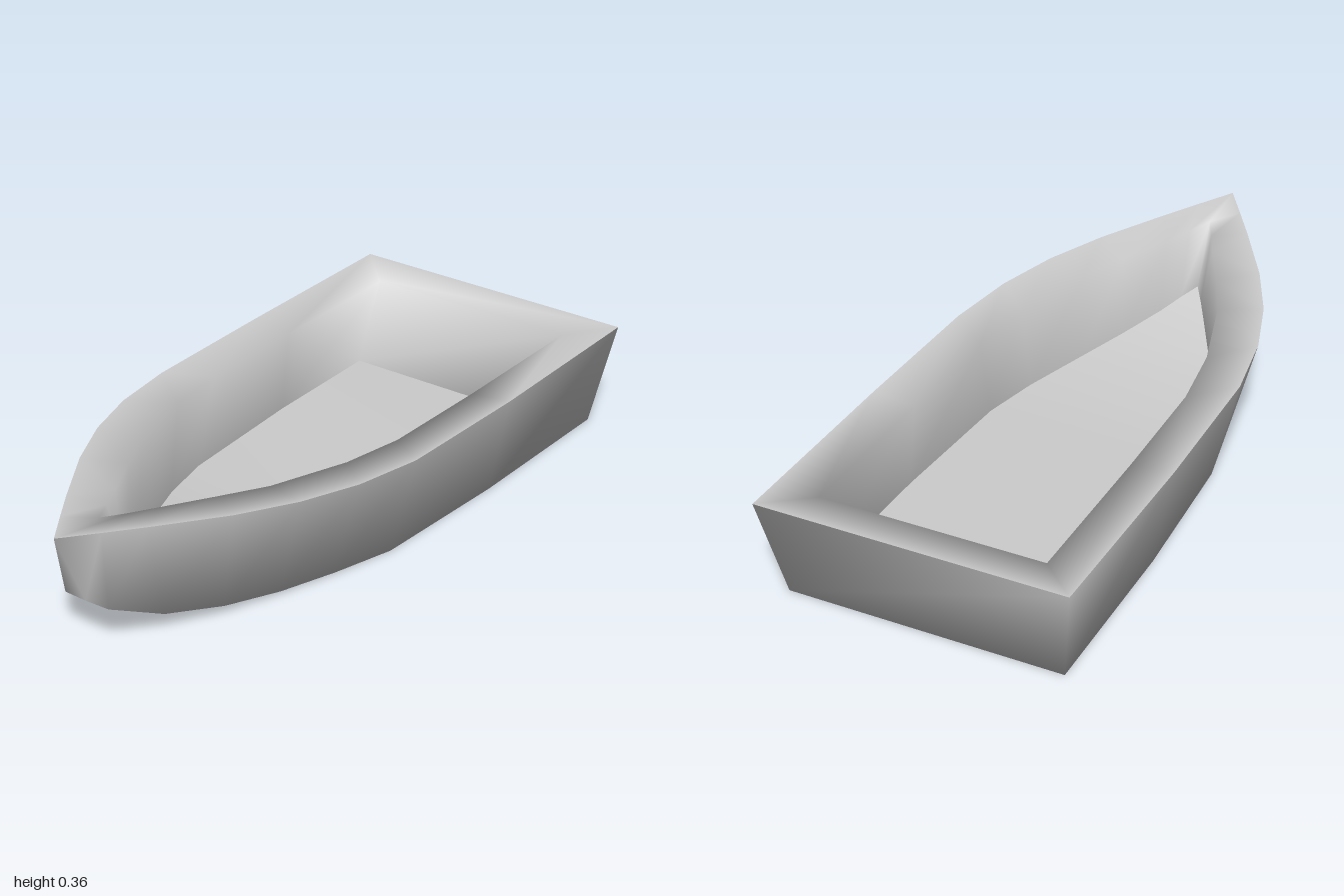
import * as THREE from 'three';

// Half outlines from bow to stern: [x, y, half width]
const chine = [[-0.895, 0.13, 0], [-0.89, 0.128, 0.072], [-0.74, 0.06, 0.13], [-0.58, 0.03, 0.2],
  [-0.41, 0.01, 0.255], [-0.24, 0.005, 0.31], [-0.05, 0, 0.36], [0.4, 0, 0.39], [0.935, 0, 0.4]];
const sheer = [[-1, 0.362, 0], [-0.9, 0.355, 0.068], [-0.8, 0.348, 0.135], [-0.61, 0.335, 0.255],
  [-0.44, 0.325, 0.34], [-0.26, 0.315, 0.4], [-0.05, 0.305, 0.435], [0.4, 0.298, 0.447], [1, 0.295, 0.447]];
const rim = [[-0.83, 0.343, 0], [-0.76, 0.336, 0.036], [-0.68, 0.33, 0.075], [-0.54, 0.322, 0.148],
  [-0.4, 0.312, 0.215], [-0.16, 0.3, 0.288], [0.04, 0.29, 0.315], [0.4, 0.284, 0.322], [0.88, 0.28, 0.325]];
const sole = [[-0.75, 0.16, 0], [-0.7, 0.14, 0.033], [-0.64, 0.115, 0.07], [-0.52, 0.08, 0.14],
  [-0.39, 0.055, 0.207], [-0.2, 0.035, 0.285], [-0.03, 0.03, 0.325], [0.4, 0.03, 0.345], [0.81, 0.025, 0.35]];

const last = chine.length - 1;
const ringSize = 2 * last + 1;

// Closed ring: left stern, round the bow, right stern
function ring(half) {
  const left = [...half].reverse();
  const right = half.slice(1).map(([x, y, z]) => [x, y, -z]);
  return [...left, ...right];
}

// Flat strip joining the two sides of one ring
function capIndices(up) {
  const index = [];
  const add = (a, b, c) => (up ? index.push(a, c, b) : index.push(a, b, c));
  for (let k = 0; k < last; k++) {
    const q = 2 * last - k;
    add(k, k + 1, q);
    if (k < last - 1) add(q, k + 1, q - 1);
  }
  return index;
}

// Walls between successive rings, including across the stern
function wallIndices(ringCount) {
  const index = [];
  for (let r = 0; r < ringCount - 1; r++) {
    for (let i = 0; i < ringSize; i++) {
      const j = (i + 1) % ringSize;
      const a = r * ringSize, b = a + ringSize;
      index.push(a + i, b + i, a + j, a + j, b + i, b + j);
    }
  }
  return index;
}

function makeMesh(name, outlines, index, material) {
  const geometry = new THREE.BufferGeometry();
  geometry.setAttribute('position', new THREE.Float32BufferAttribute(outlines.map(ring).flat(2), 3));
  geometry.setIndex(index);
  geometry.computeVertexNormals();
  const mesh = new THREE.Mesh(geometry, material);
  mesh.name = name;
  return mesh;
}

export function createModel() {
  const model = new THREE.Group();
  model.name = 'boat';
  const material = new THREE.MeshStandardMaterial({ color: 0xcccccc });

  // Bottom, sides and transom as one smooth shell
  model.add(makeMesh('hull', [chine, sheer], [...capIndices(false), ...wallIndices(2)], material));

  // Gunwale turning down into the inner walls
  model.add(makeMesh('gunwaleAndInnerWalls', [sheer, rim, sole], wallIndices(3), material));

  // Floor inside the hull
  model.add(makeMesh('floor', [sole], capIndices(true), material));
  return model;
}
